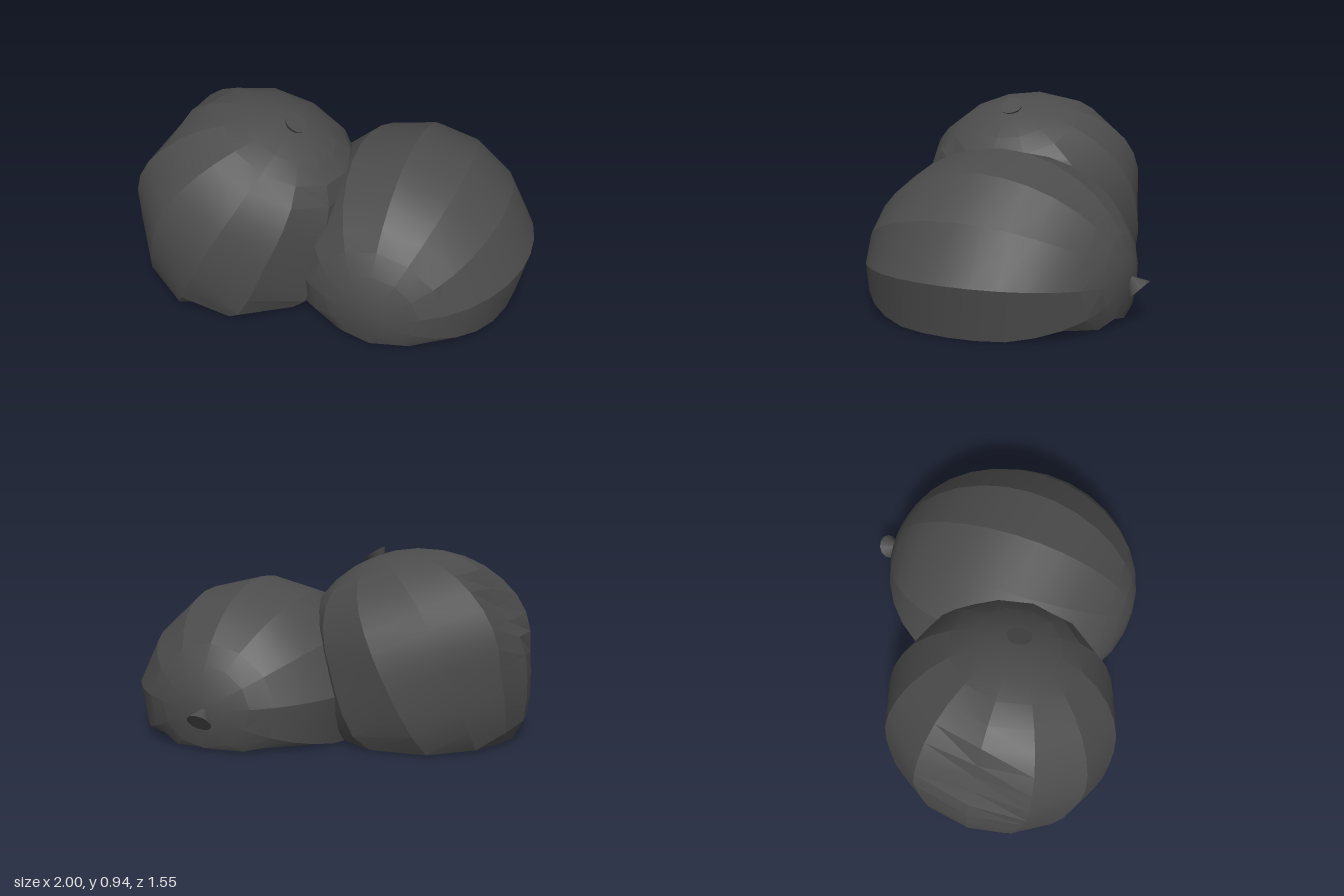
import * as THREE from 'three';
import { toCreasedNormals } from 'three/addons/utils/BufferGeometryUtils.js';

const material = new THREE.MeshStandardMaterial({ color: 0x4c4c4c, side: THREE.DoubleSide });

// Twelve-gored bag: an ellipsoid with a fuller lower half, resting flat on the ground.
// topWiden spreads (or narrows) the upper half sideways; endSag lowers the front and back ends.
function sackGeometry({ center, radii, orient, lowerPower, topWiden, endSag = 0, dent }) {
  const sphere = new THREE.SphereGeometry(1, 12, 16);
  orient(sphere);
  const pos = sphere.attributes.position;
  const p = new THREE.Vector3();
  for (let i = 0; i < pos.count; i++) {
    p.fromBufferAttribute(pos, i);
    const power = p.y < 0 ? lowerPower : 2;
    const h = Math.hypot(p.x, p.z);
    p.multiplyScalar(Math.pow(Math.pow(h, power) + Math.pow(Math.abs(p.y), power), -1 / power));
    p.x *= 1 + topWiden * THREE.MathUtils.clamp(2 * p.y, 0, 1);
    p.y -= endSag * p.z * p.z;
    p.multiply(radii).add(center);
    // Soft hollow pressed towards the middle of the bag
    if (dent) {
      const d = p.distanceTo(dent.at) / dent.size;
      const inward = center.clone().sub(p).normalize();
      p.addScaledVector(inward, dent.depth * Math.exp(-d * d));
    }
    pos.setXYZ(i, p.x, p.y, p.z);
  }
  // Shade the full bag first, so the flattened underside keeps its soft rounding
  const geo = toCreasedNormals(sphere, 0.27);
  const flat = geo.attributes.position;
  for (let i = 0; i < flat.count; i++) flat.setY(i, Math.max(0, flat.getY(i)));
  return geo;
}

// Flared knot: a short cone whose wide rim faces along the given direction.
function addKnot(group, rimCenter, direction) {
  const length = 0.07;
  const geo = toCreasedNormals(new THREE.CylinderGeometry(0.063, 0.016, length, 12), 0.7);
  const knot = new THREE.Mesh(geo, material);
  knot.name = 'knot';
  direction.normalize();
  knot.quaternion.setFromUnitVectors(new THREE.Vector3(0, 1, 0), direction);
  knot.position.copy(rimCenter).addScaledVector(direction, -length / 2);
  group.add(knot);
}

function makeSack(name, geo, rimCenter, direction) {
  const group = new THREE.Group();
  group.name = name;
  const body = new THREE.Mesh(geo, material);
  body.name = 'sackBody';
  group.add(body);
  addKnot(group, rimCenter, direction);
  return group;
}

export function createModel() {
  const V = (x, y, z) => new THREE.Vector3(x, y, z);
  const model = new THREE.Group();
  model.name = 'tiedSacks';

  // Upright sack, its tied end leaning towards the other one
  const upright = sackGeometry({
    center: V(-0.445, 0.4, 0.175),
    radii: V(0.56, 0.54, 0.598),
    orient: (g) => g.rotateZ(-0.45),
    lowerPower: 3.6,
    topWiden: 0.1,
    dent: { at: V(-0.94, 0.68, 0.16), size: 0.2, depth: 0.12 },
  });
  model.add(makeSack('uprightSack', upright, V(-0.175, 0.905, 0.18), V(0.54, 0.84, 0)));

  // Sack lying on its side, its tied end at the back
  const lying = sackGeometry({
    center: V(0.37, 0.26, -0.02),
    radii: V(0.63, 0.52, 0.675),
    orient: (g) => g.rotateX(-Math.PI / 2),
    lowerPower: 2.4,
    topWiden: -0.1,
    endSag: 0.09,
  });
  model.add(makeSack('lyingSack', lying, V(0.355, 0.155, -0.735), V(0, -0.7, -0.7)));

  return model;
}
